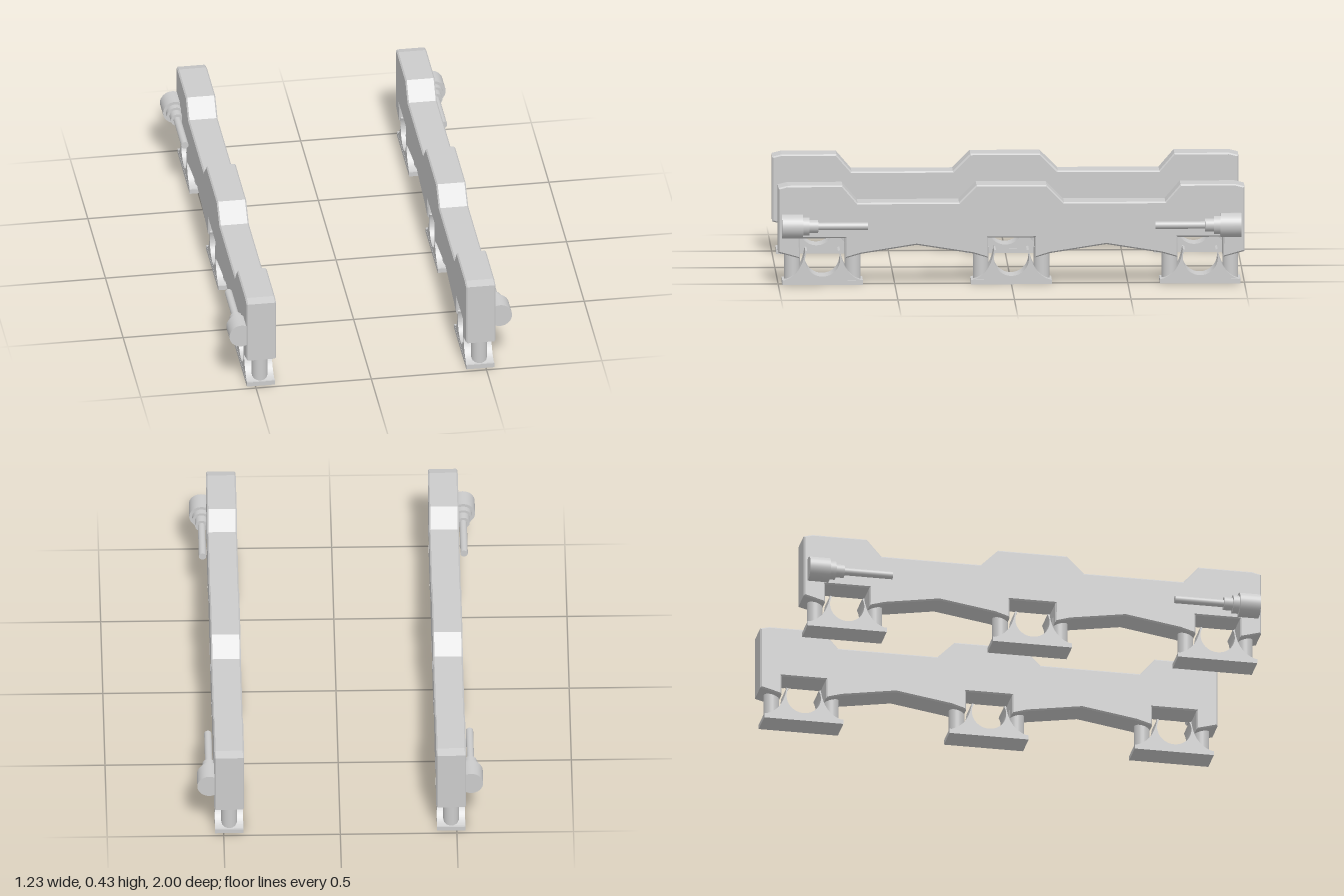
import * as THREE from 'three';

const material = new THREE.MeshStandardMaterial({ color: 0xcccccc, flatShading: false });
const CENTER_X = 0.476, WIDTH = 0.128;

function part(name, geometry, x = 0, y = 0, z = 0) {
  const mesh = new THREE.Mesh(geometry, material);
  mesh.name = name;
  mesh.position.set(x, y, z);
  return mesh;
}

// Extrude a (z, y) outline across the width, centred on x = 0
function extrudeAcross(shape, width, bevel = 0) {
  const g = new THREE.ExtrudeGeometry(shape, {
    depth: width - 2 * bevel, curveSegments: 24,
    bevelEnabled: bevel > 0, bevelSize: bevel, bevelThickness: bevel,
    bevelOffset: -bevel, bevelSegments: 1,
  });
  g.translate(0, 0, -width / 2 + bevel);
  g.rotateY(Math.PI / 2);
  return g;
}

// Beam with raised blocks over three notches and arched underside
function beamGeometry() {
  const topHalf = [[0.15, 0.43], [0.225, 0.355], [0.66, 0.355], [0.725, 0.43], [0.96, 0.43], [1, 0.42]];
  const bottomHalf = [[1, 0.14], [0.907, 0.115], [0.907, 0.202], [0.713, 0.202], [0.713, 0.115],
    [0.645, 0.134], [0.407, 0.172], [0.165, 0.134], [0.1, 0.115], [0.1, 0.202]];
  const half = [...topHalf, ...bottomHalf];
  const mirrored = half.map(([z, y]) => [-z, y]).reverse();
  const shape = new THREE.Shape([...half, ...mirrored].map(([z, y]) => new THREE.Vector2(z, y)));
  return extrudeAcross(shape, WIDTH, 0.006);
}

// Saddle: flared foot with a round open cradle and thin horns
function saddleGeometry() {
  const r = 0.075, cy = 0.111, a = 0.5;
  const tipZ = r * Math.cos(a), tipY = cy + r * Math.sin(a);
  const s = new THREE.Shape();
  s.moveTo(-0.172, 0.018);
  s.lineTo(0.172, 0.018);
  s.quadraticCurveTo(0.088, 0.04, tipZ + 0.009, tipY + 0.003);
  s.lineTo(tipZ, tipY);
  s.absarc(0, cy, r, a, -Math.PI - a, true);
  s.lineTo(-tipZ - 0.009, tipY + 0.003);
  s.quadraticCurveTo(-0.088, 0.04, -0.172, 0.018);
  return extrudeAcross(s, WIDTH - 0.008);
}

// Bearing support: plate, saddle and two round posts
function bearingSupport(z) {
  const group = new THREE.Group();
  group.name = 'bearingSupport';
  group.position.z = z;
  group.add(part('basePlate', new THREE.BoxGeometry(WIDTH - 0.006, 0.02, 0.346), 0, 0.01, 0));
  group.add(part('saddle', saddleGeometry()));
  for (const s of [-1, 1]) {
    group.add(part('post', new THREE.CylinderGeometry(0.034, 0.034, 0.14, 24), 0, 0.085, s * 0.13));
  }
  return group;
}

// Stepped cylinder with a thin rod, pointing towards the middle
function brakeCylinder(end) {
  const group = new THREE.Group();
  group.name = 'brakeCylinder';
  const steps = [
    ['cylinderBody', 0.052, 0.895, 0.985],
    ['cylinderCollar', 0.039, 0.868, 0.895],
    ['cylinderNeck', 0.028, 0.83, 0.868],
    ['pushRod', 0.016, 0.617, 0.83],
  ];
  for (const [name, r, z0, z1] of steps) {
    const g = new THREE.CylinderGeometry(r, r, z1 - z0, 32);
    g.rotateX(Math.PI / 2);
    group.add(part(name, g, 0.561 - CENTER_X, 0.257, end * (z0 + z1) / 2));
  }
  return group;
}

function sideFrame(name) {
  const frame = new THREE.Group();
  frame.name = name;
  frame.add(part('beam', beamGeometry()));
  for (const z of [-0.81, 0, 0.81]) frame.add(bearingSupport(z));
  for (const end of [-1, 1]) frame.add(brakeCylinder(end));
  return frame;
}

export function createModel() {
  const model = new THREE.Group();
  model.name = 'sideFrames';
  const left = sideFrame('leftSideFrame');
  left.position.x = CENTER_X;
  const right = sideFrame('rightSideFrame');
  right.position.x = -CENTER_X;
  right.rotation.y = Math.PI;
  model.add(left, right);
  return model;
}
